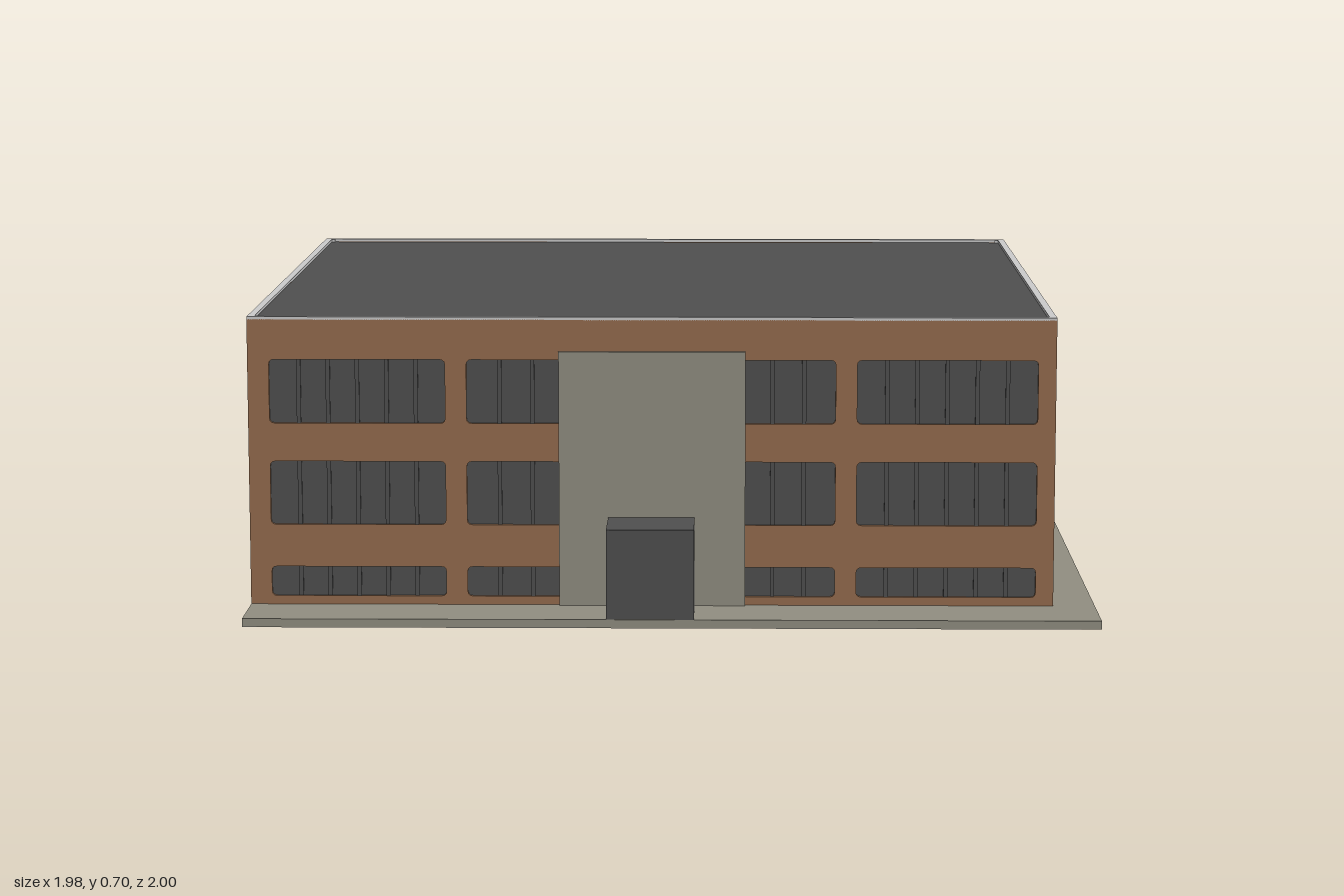
import * as THREE from 'three';

const mat = (name, color) => {
  const m = new THREE.MeshStandardMaterial({ color });
  m.name = name;
  return m;
};

export function createModel() {
  const brick = mat('brick', 0x966d4f);
  const dark = mat('dark glass and roofing', 0x505050);
  const concrete = mat('concrete', 0x928f82);
  const trim = mat('pale trim', 0xcccccc);

  const model = new THREE.Group();
  model.name = 'officeBuilding';

  // building extents
  const X0 = -0.99, X1 = 0.892, Z0 = -0.903, Z1 = 0.83, Y0 = 0.02, Y1 = 0.7;

  const add = (parent, name, geometry, material) => {
    const mesh = new THREE.Mesh(geometry, material);
    mesh.name = name;
    parent.add(mesh);
    return mesh;
  };
  const box = (parent, name, material, x0, x1, y0, y1, z0, z1) =>
    add(parent, name, new THREE.BoxGeometry(x1 - x0, y1 - y0, z1 - z0), material)
      .position.set((x0 + x1) / 2, (y0 + y1) / 2, (z0 + z1) / 2);

  const rect = (P, a, b, c, d) => {
    const p = new P();
    p.moveTo(a, c); p.lineTo(b, c); p.lineTo(b, d); p.lineTo(a, d); p.closePath();
    return p;
  };
  // window opening with softened corners
  const opening = (a, b, c, d, r) => {
    const p = new THREE.Path();
    p.moveTo(a + r, c);
    p.lineTo(b - r, c); p.quadraticCurveTo(b, c, b, c + r);
    p.lineTo(b, d - r); p.quadraticCurveTo(b, d, b - r, d);
    p.lineTo(a + r, d); p.quadraticCurveTo(a, d, a, d - r);
    p.lineTo(a, c + r); p.quadraticCurveTo(a, c, a + r, c);
    return p;
  };

  // Wall facing local +z at distance `out`; windows are [u0, u1, y0, y1, panes]
  const wall = (name, u0, u1, out, turn, windows) => {
    const g = new THREE.Group();
    g.name = name;
    g.rotation.y = turn;
    const shape = rect(THREE.Shape, u0, u1, Y0, Y1 - 0.006);
    for (const [a, b, c, d, panes] of windows) {
      shape.holes.push(opening(a, b, c, d, 0.012));
      box(g, 'windowGlass', dark, a - 0.004, b + 0.004, c - 0.004, d + 0.004, out - 0.014, out - 0.008);
      for (let i = 1; i < panes; i++) {
        const u = a + (b - a) * i / panes;
        box(g, 'mullion', dark, u - 0.005, u + 0.005, c, d, out - 0.009, out - 0.004);
      }
    }
    const geo = new THREE.ExtrudeGeometry(shape, { depth: 0.016, bevelEnabled: false, curveSegments: 3 });
    geo.translate(0, 0, out - 0.016);
    add(g, name + 'Brickwork', geo, brick);
    model.add(g);
  };
  const grid = (cols, rows) =>
    cols.flatMap(([a, b, n]) => rows.map(([c, d]) => [a, b, c, d, n]));

  const upper = [[0.21, 0.36], [0.45, 0.6]];
  const narrow = [[0.035, 0.15], [0.215, 0.37], [0.45, 0.605]];

  wall('frontWall', X0, X1, Z1, 0, grid(
    [[-0.94, -0.53, 6], [-0.48, -0.25, 3], [0.16, 0.38, 3], [0.43, 0.85, 6]],
    [[0.04, 0.11], ...upper]));
  wall('leftWall', -Z1, -Z0, X1, Math.PI / 2, grid(
    [[-0.78, -0.27, 6], [-0.22, 0.29, 6], [0.34, 0.85, 6]], upper));
  wall('backWall', -X1, -X0, -Z0, Math.PI, [
    ...grid([[-0.71, -0.555, 2], [0.205, 0.35, 2], [0.655, 0.8, 2]], narrow),
    [-0.06, 0.015, 0.03, 0.185, 1]]);
  wall('rightWall', Z0, Z1, -X0, -Math.PI / 2, grid(
    [[-0.72, -0.565, 2], [-0.075, 0.08, 2], [0.495, 0.65, 2]], narrow));

  // roof deck and pale coping around it
  box(model, 'roofDeck', dark, X0 + 0.015, X1 - 0.015, 0.675, 0.692, Z0 + 0.015, Z1 - 0.015);
  const flatRing = (name, a, b, c, d, hole, y, depth, material) => {
    const s = rect(THREE.Shape, a, b, -d, -c);
    s.holes.push(rect(THREE.Path, hole[0], hole[1], -hole[3], -hole[2]));
    const geo = new THREE.ExtrudeGeometry(s, { depth, bevelEnabled: false });
    geo.rotateX(-Math.PI / 2);
    geo.translate(0, y, 0);
    add(model, name, geo, material);
  };
  flatRing('roofCoping', X0, X1, Z0, Z1,
    [X0 + 0.017, X1 - 0.017, Z0 + 0.017, Z1 - 0.017], Y1 - 0.007, 0.007, trim);
  for (const x of [X0 + 0.02, X1 - 0.02])
    for (const z of [Z0 + 0.02, Z1 - 0.02])
      box(model, 'copingCorner', trim, x - 0.006, x + 0.006, 0.688, 0.699, z - 0.006, z + 0.006);

  // paved base, pale underneath, with a shallow recess below the building
  const recess = [X0 + 0.01, X1 - 0.015, Z0 + 0.015, Z1 - 0.01];
  box(model, 'pavedBase', concrete, -0.99, 0.99, 0.012, 0.02, -1, 1);
  flatRing('baseRim', -0.99, 0.99, -1, 1,
    [recess[0] - 0.004, recess[1] + 0.004, recess[2] - 0.004, recess[3] + 0.004], 0.001, 0.011, concrete);
  flatRing('baseUnderside', -0.99, 0.99, -1, 1, recess, 0, 0.001, trim);
  flatRing('recessEdge', recess[0] - 0.004, recess[1] + 0.004, recess[2] - 0.004, recess[3] + 0.004,
    recess, 0.001, 0.011, trim);
  box(model, 'recessCeiling', trim, recess[0], recess[1], 0.01, 0.013, recess[2], recess[3]);

  // concrete entrance panel and projecting vestibule
  box(model, 'entrancePanel', concrete, -0.265, 0.17, Y0, 0.62, Z1 - 0.015, Z1 + 0.008);
  const porch = new THREE.Group();
  porch.name = 'entranceVestibule';
  model.add(porch);
  box(porch, 'vestibuleBody', dark, -0.15, 0.047, Y0, 0.22, Z1, 0.998);
  box(porch, 'vestibuleRoof', dark, -0.15, 0.052, 0.215, 0.23, Z1, 1);
  for (const z of [0.846, 0.915, 0.99])
    box(porch, 'doorPost', dark, 0.045, 0.052, Y0, 0.216, z - 0.008, z + 0.008);

  return model;
}
